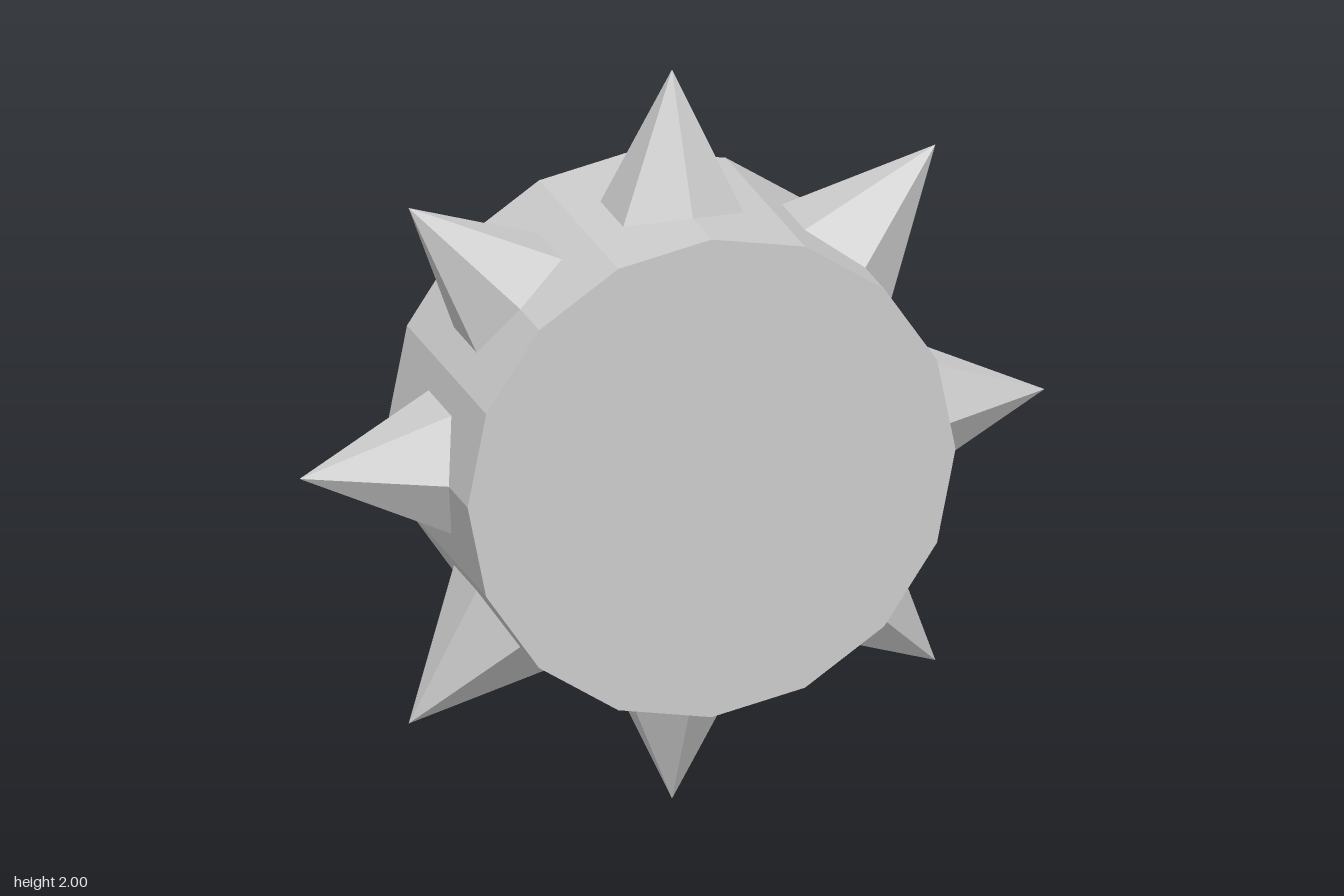
import * as THREE from 'three';

export function createModel() {
  const model = new THREE.Group();
  model.name = 'spikedWheel';

  const grey = new THREE.MeshStandardMaterial({ color: 0xcccccc });
  grey.name = 'lightGrey';
  grey.flatShading = true;

  // Sixteen-sided drum, its axis running front to back
  const drumGeometry = new THREE.CylinderGeometry(0.655, 0.655, 0.648, 16);
  drumGeometry.rotateX(Math.PI / 2);
  const drum = new THREE.Mesh(drumGeometry, grey);
  drum.name = 'drum';
  drum.position.y = 1;
  model.add(drum);

  // Eight six-sided spikes around the rim, rooted inside the drum
  const spikeGeometry = new THREE.ConeGeometry(0.198, 0.4, 6);
  spikeGeometry.translate(0, 0.8, 0);
  const spikes = new THREE.Group();
  spikes.name = 'spikes';
  spikes.position.y = 1;
  for (let i = 0; i < 8; i++) {
    const spike = new THREE.Mesh(spikeGeometry, grey);
    spike.name = `spike${i + 1}`;
    spike.rotation.z = (i * Math.PI) / 4;
    spikes.add(spike);
  }
  model.add(spikes);

  return model;
}
